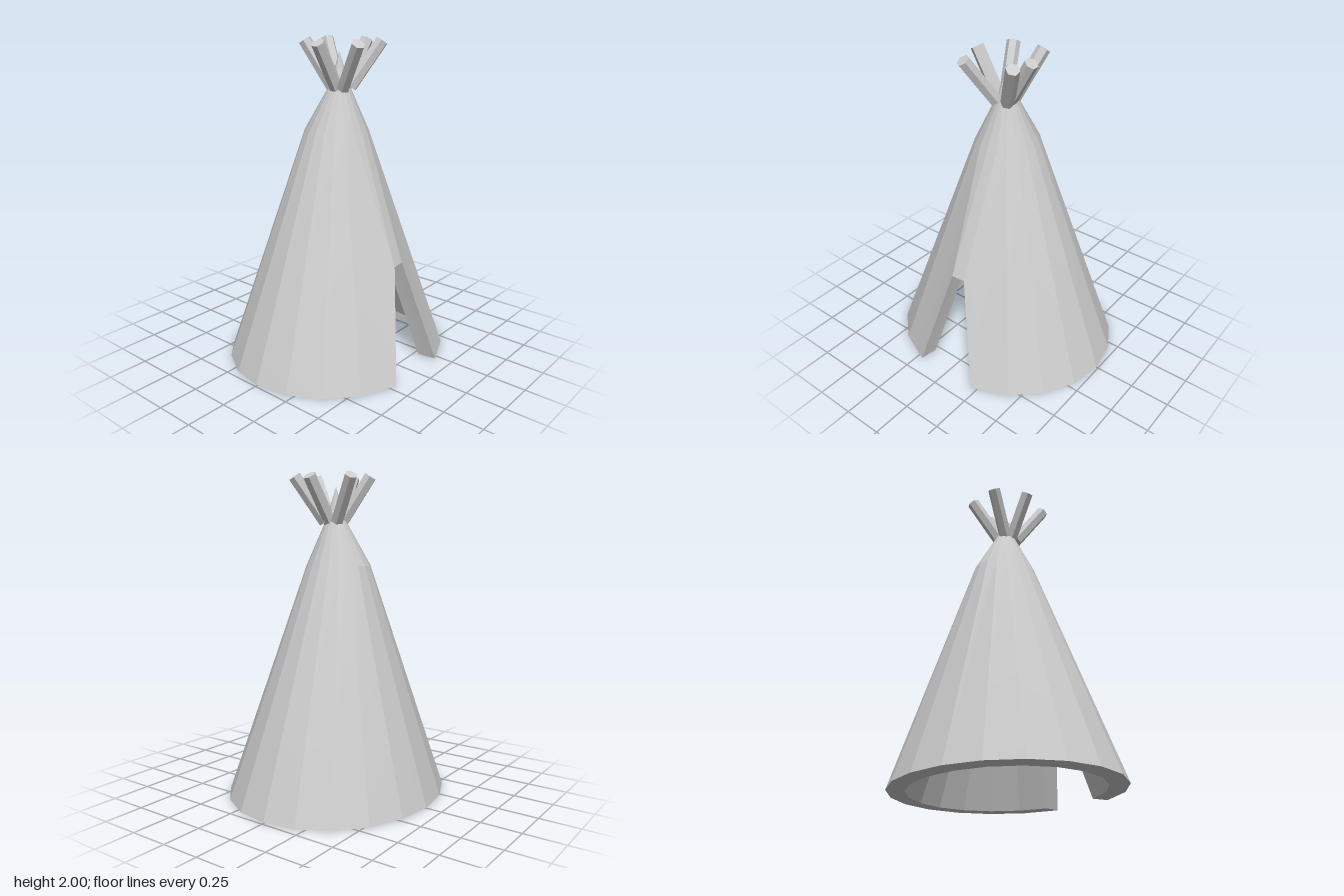
import * as THREE from 'three';
import { toCreasedNormals } from 'three/addons/utils/BufferGeometryUtils.js';

const SIDES = 20;
const LAST = SIDES - 1;

// One skin of the tent: base ring, two upper rings, apex and the door corners
function makeSkin({ rx, zFront, zBack, baseY, rings, apex, doorFoot, doorTop }) {
  const circle = (x, z, y, r, f = r, b = r) => Array.from({ length: SIDES }, (_, i) => {
    const a = (i / SIDES) * Math.PI * 2, c = Math.cos(a);
    return [x + r * Math.sin(a), y, z + (c > 0 ? f : b) * c];
  });
  const base = circle(0, 0, baseY, rx, zFront, zBack);
  base[1][0] = doorFoot;
  base[LAST][0] = -doorFoot;
  const [lower, upper] = rings.map(([x, z, y, r]) => circle(x, z, y, r));
  const [dx, dy, dz] = doorTop;
  return { base, lower, upper, apex, doorL: [dx, dy, dz - 0.004], doorR: [-dx, dy, dz + 0.004] };
}

function coverGeometry() {
  const pos = [];
  const tri = (a, b, c) => pos.push(...a, ...b, ...c);
  const quad = (a, b, c, d) => { tri(a, b, c); tri(a, c, d); };

  // Rings are [centre x, centre z, height, radius]
  const outer = makeSkin({ rx: 0.74, zFront: 0.68, zBack: 0.65, baseY: 0.004,
    rings: [[0.004, 0, 1.44, 0.199], [0.01, 0.018, 1.73, 0.054]],
    apex: [0.01, 1.92, 0.015], doorFoot: 0.213, doorTop: [0.043, 0.675, 0.49] });
  const inner = makeSkin({ rx: 0.625, zFront: 0.56, zBack: 0.54, baseY: 0,
    rings: [[0.003, 0, 1.2, 0.15], [0.01, 0.01, 1.42, 0.06]],
    apex: [0.01, 1.55, 0.015], doorFoot: 0.197, doorTop: [0.043, 0.652, 0.378] });

  // Cloth faces; the inner skin is wound the other way round
  const skinFaces = (s, flip) => {
    const t = flip ? (a, b, c) => tri(a, c, b) : tri;
    const q = (a, b, c, d) => { t(a, b, c); t(a, c, d); };
    for (let i = 0; i < SIDES; i++) {
      const j = (i + 1) % SIDES;
      t(s.upper[i], s.upper[j], s.apex);
      q(s.lower[i], s.lower[j], s.upper[j], s.upper[i]);
      // the doorway replaces two of the lower panels
      if (i !== 0 && i !== LAST) q(s.base[i], s.base[j], s.lower[j], s.lower[i]);
    }
    q(s.doorL, s.base[1], s.lower[1], s.lower[0]);
    t(s.doorR, s.doorL, s.lower[0]);
    q(s.doorR, s.lower[0], s.lower[LAST], s.base[LAST]);
  };
  skinFaces(outer, false);
  skinFaces(inner, true);

  // Bottom rim
  for (let i = 1; i < LAST; i++) {
    quad(outer.base[i], inner.base[i], inner.base[i + 1], outer.base[i + 1]);
  }
  // Door jambs and lintel
  quad(outer.base[1], outer.doorL, inner.doorL, inner.base[1]);
  quad(outer.base[LAST], inner.base[LAST], inner.doorR, outer.doorR);
  quad(outer.doorL, outer.doorR, inner.doorR, inner.doorL);

  const geo = new THREE.BufferGeometry();
  geo.setAttribute('position', new THREE.Float32BufferAttribute(pos, 3));
  // soft along each panel, sharp between panels
  return toCreasedNormals(geo, 0.2);
}

// Hexagonal pole between two points
function makePole(from, to, radius, material) {
  const a = new THREE.Vector3(...from), b = new THREE.Vector3(...to);
  const dir = b.clone().sub(a);
  const pole = new THREE.Mesh(new THREE.CylinderGeometry(radius, radius, dir.length(), 6), material);
  pole.position.copy(a).add(b).multiplyScalar(0.5);
  pole.quaternion.setFromUnitVectors(new THREE.Vector3(0, 1, 0), dir.normalize());
  return pole;
}

export function createModel() {
  const group = new THREE.Group();
  group.name = 'tent';

  const cover = new THREE.Mesh(coverGeometry(), new THREE.MeshStandardMaterial({ color: 0xcccccc }));
  cover.name = 'cover';
  group.add(cover);

  // Pole ends fanning out of the top: [bottom x, bottom z, top x, top z]
  const wood = new THREE.MeshStandardMaterial({ color: 0xcccccc, flatShading: true });
  const poles = new THREE.Group();
  poles.name = 'poles';
  [
    [-0.028, 0.077, -0.11, 0.255],
    [0.052, 0.068, 0.19, 0.196],
    [0.045, 0.035, 0.214, 0.063],
    [-0.037, 0.03, -0.199, 0.029],
    [-0.022, -0.01, -0.09, -0.171],
    [0.037, -0.012, 0.123, -0.177],
  ].forEach(([bx, bz, tx, tz], i) => {
    const pole = makePole([bx, 1.705, bz], [tx, 1.978, tz], 0.041, wood);
    pole.name = `pole${i + 1}`;
    poles.add(pole);
  });
  group.add(poles);

  return group;
}
